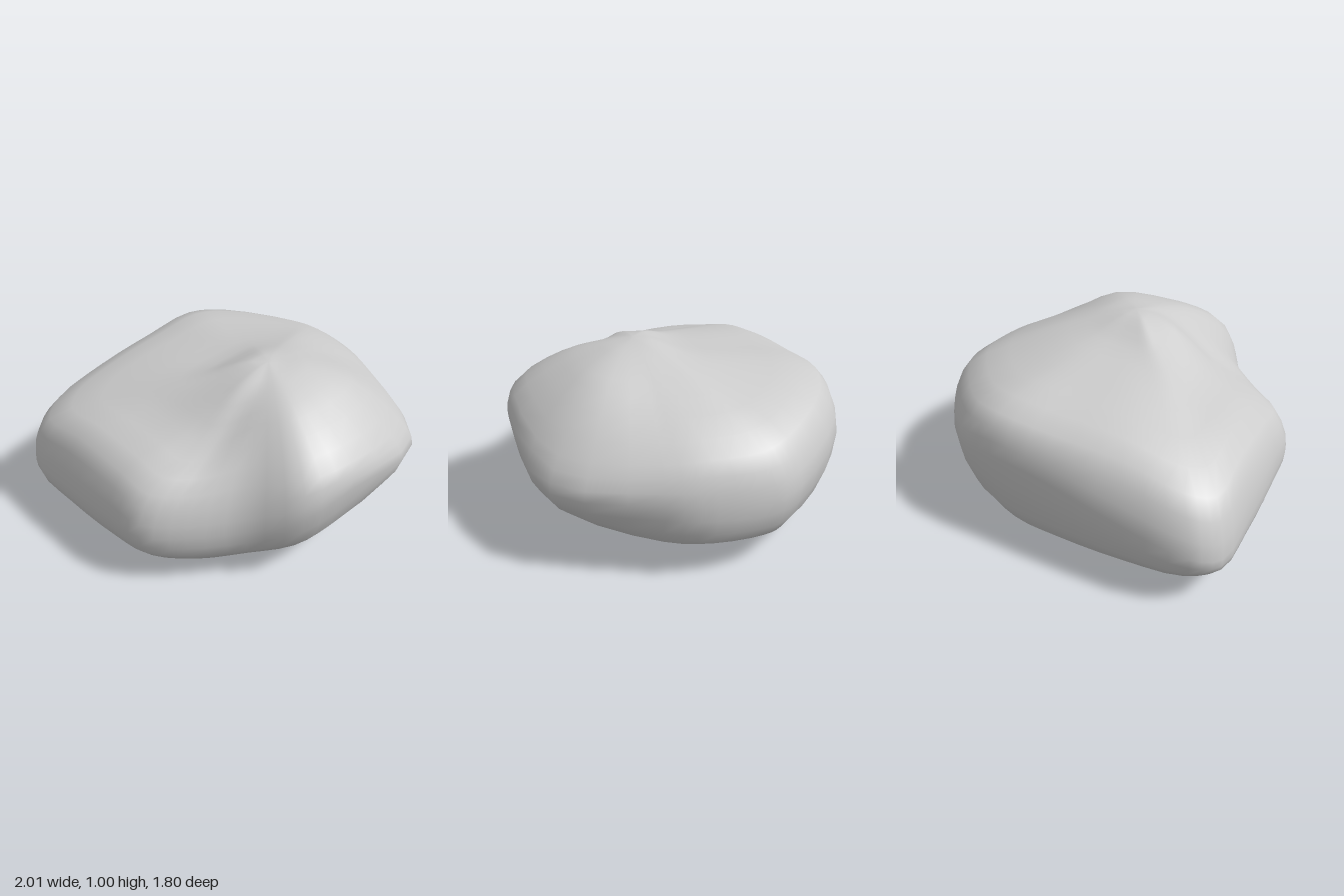
import * as THREE from 'three';
import { mergeVertices } from 'three/addons/utils/BufferGeometryUtils.js';

// Profiles around the boulder, counter-clockwise seen from above:
// rim x, rim z, rim y, lower shoulder (fraction, y), upper shoulder (fraction, y), y halfway in
const PROFILES = [
  [0.995, -0.05, 0.46, 0.96, 0.22, 0.9, 0.67, 0.85],
  [0.985, -0.35, 0.45, 0.94, 0.21, 0.9, 0.68, 0.855],
  [0.9, -0.51, 0.46, 0.91, 0.17, 0.9, 0.7, 0.85],
  [0.52, -0.85, 0.52, 0.88, 0.1, 0.9, 0.76, 0.86],
  [0.25, -0.9, 0.57, 0.89, 0.06, 0.92, 0.79, 0.87],
  [-0.1, -0.87, 0.53, 0.91, 0.07, 0.91, 0.76, 0.86],
  [-0.54, -0.83, 0.43, 0.93, 0.12, 0.88, 0.72, 0.84],
  [-0.89, -0.76, 0.35, 0.95, 0.17, 0.89, 0.64, 0.8],
  [-1.0, -0.62, 0.3, 0.96, 0.17, 0.91, 0.6, 0.78],
  [-0.975, -0.3, 0.32, 0.95, 0.14, 0.9, 0.64, 0.77],
  [-0.92, 0.12, 0.35, 0.93, 0.14, 0.9, 0.62, 0.76],
  [-0.87, 0.34, 0.35, 0.92, 0.16, 0.9, 0.58, 0.73],
  [-0.68, 0.5, 0.35, 0.91, 0.14, 0.88, 0.57, 0.75],
  [-0.42, 0.66, 0.37, 0.88, 0.14, 0.88, 0.62, 0.84],
  [-0.2, 0.87, 0.5, 0.82, 0.19, 0.92, 0.7, 0.89],
  [0.1, 0.9, 0.58, 0.8, 0.21, 0.94, 0.72, 0.9],
  [0.72, 0.74, 0.47, 0.82, 0.26, 0.89, 0.64, 0.89],
  [0.95, 0.2, 0.47, 0.92, 0.21, 0.9, 0.65, 0.85],
];
const PEAK = { x: 0.08, z: 0.2 };
const BASE = { x: 0.2, z: -0.25 };

// Control points of one profile from the underside to the peak
function profilePoints([x, z, yRim, fLow, yLow, fUp, yUp, yMid]) {
  const at = (c, f, y) => new THREE.Vector3(
    c.x + (x - c.x) * f, y, c.z + (z - c.z) * f);
  // The hump is fuller towards the front and the left, and drops off behind
  const yHump = 0.945 + 0.03 * (z - PEAK.z) + 0.02 * x;
  return [
    at(BASE, 0, 0), at(BASE, 0.5, Math.min(yLow, 0.2) * 0.25),
    at(PEAK, fLow, yLow), at(PEAK, 1, yRim), at(PEAK, fUp, yUp),
    at(PEAK, 0.55, yMid), at(PEAK, 0.26, yHump),
    at(PEAK, 0.09, 0.99), at(PEAK, 0, 1),
  ];
}

function boulderGeometry(around = 54, up = 24) {
  const columns = PROFILES.map((p) =>
    new THREE.CatmullRomCurve3(profilePoints(p)).getPoints(up));
  const positions = [];
  const index = [];
  for (let i = 0; i <= up; i++) {
    const pole = i === 0 || i === up;
    const ring = new THREE.CatmullRomCurve3(columns.map((c) => c[i]), true);
    for (let j = 0; j < around; j++) {
      const p = pole ? columns[0][i] : ring.getPoint(j / around);
      positions.push(p.x, p.y, p.z);
      if (i === up) continue;
      const a = i * around + j, b = i * around + (j + 1) % around;
      const c = b + around, d = a + around;
      if (i > 0) index.push(a, b, c);
      if (i < up - 1) index.push(a, c, d);
    }
  }
  const geometry = new THREE.BufferGeometry();
  geometry.setAttribute('position', new THREE.Float32BufferAttribute(positions, 3));
  geometry.setIndex(index);
  // Weld the poles so the shading stays smooth there
  const welded = mergeVertices(geometry);
  welded.computeVertexNormals();
  return welded;
}

export function createModel() {
  const group = new THREE.Group();
  group.name = 'rock';
  const boulder = new THREE.Mesh(
    boulderGeometry(), new THREE.MeshStandardMaterial({ color: 0xcccccc }));
  boulder.name = 'boulder';
  group.add(boulder);
  return group;
}
